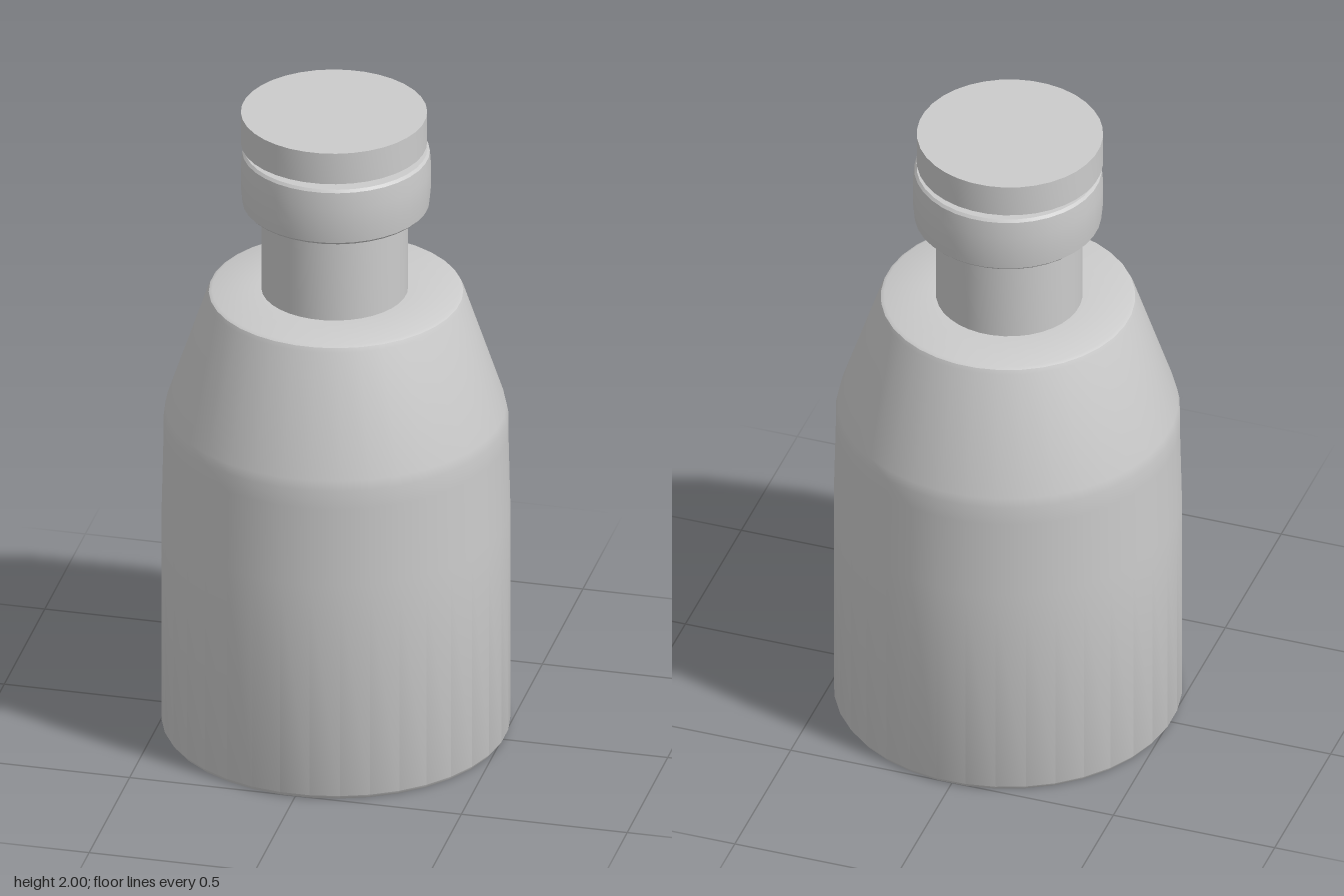
import * as THREE from 'three';
import { toCreasedNormals } from 'three/addons/utils/BufferGeometryUtils.js';

const SIDES = 36;
const material = new THREE.MeshStandardMaterial({ color: 0xcccccc });

// Turned part from a [radius, height] profile, listed bottom to top
function turned(name, profile, x = 0) {
  const points = profile.map(([r, y]) => new THREE.Vector2(r, y));
  const lathe = new THREE.LatheGeometry(points, SIDES, Math.PI / SIDES);
  const mesh = new THREE.Mesh(toCreasedNormals(lathe, 0.6), material);
  mesh.name = name;
  mesh.position.x = x;
  return mesh;
}

export function createModel() {
  const bottle = new THREE.Group();
  bottle.name = 'bottle';

  // Body with softened base, slight taper and sloping shoulder
  bottle.add(turned('body', [
    [0, 0], [0.503, 0], [0.511, 0.012], [0.511, 0.7], [0.505, 0.95],
    [0.505, 1.01], [0.499, 1.04], [0.379, 1.4], [0.373, 1.413], [0.363, 1.418],
    [0.22, 1.423], [0, 1.423],
  ]));

  // Neck runs up through the collar to the cap
  bottle.add(turned('neck', [[0, 1.4], [0.215, 1.4], [0.215, 1.905], [0, 1.905]], -0.004));

  // Slightly bulging collar ring
  bottle.add(turned('collar', [
    [0.2, 1.7], [0.266, 1.7], [0.274, 1.708], [0.279, 1.76], [0.279, 1.82],
    [0.275, 1.872], [0.268, 1.88], [0.2, 1.88],
  ]));

  // Flat cap
  bottle.add(turned('cap', [[0, 1.9], [0.273, 1.9], [0.273, 2], [0, 2]], -0.006));

  return bottle;
}
